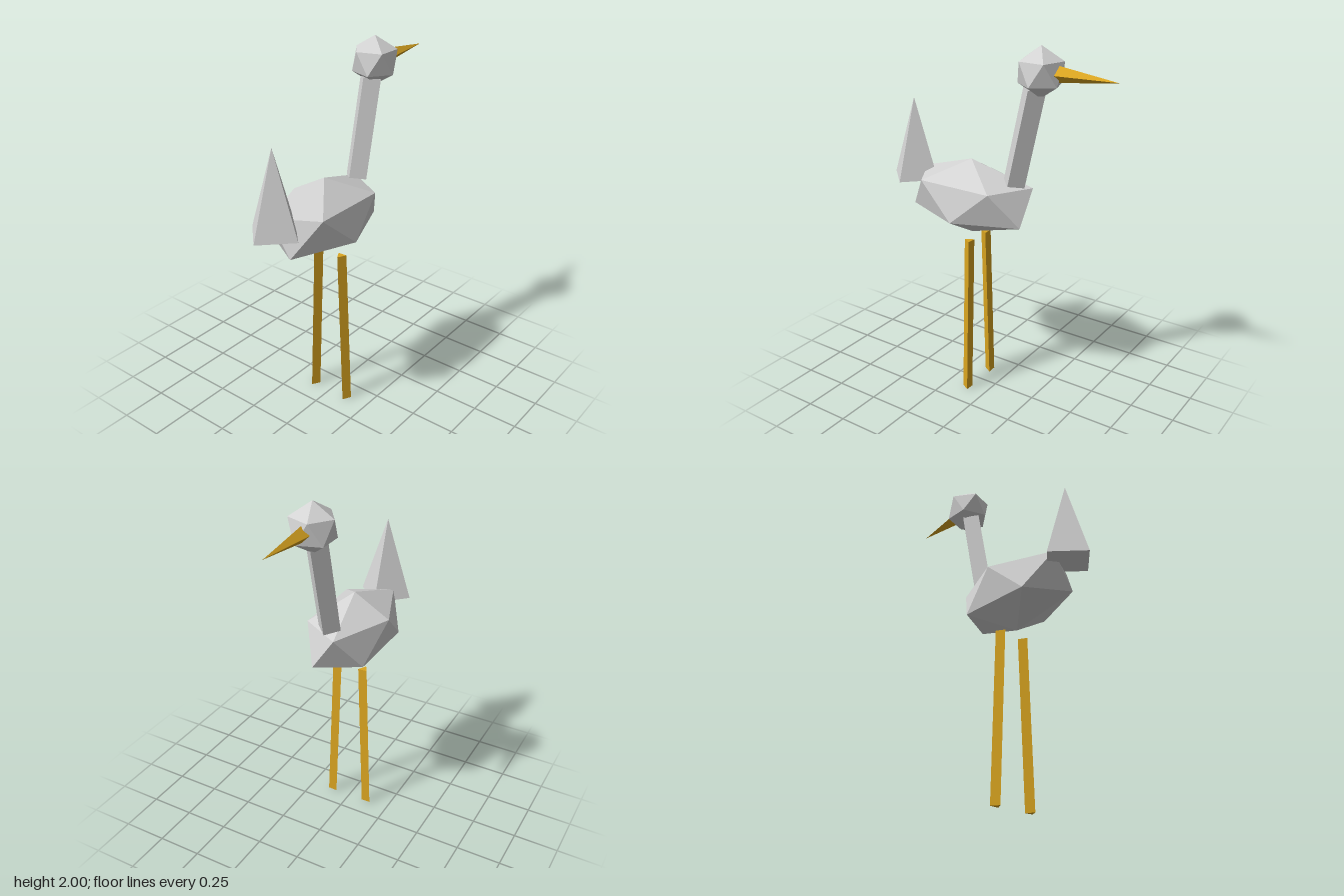
import * as THREE from 'three';

export function createModel() {
  const plumage = new THREE.MeshStandardMaterial({ color: 0xd3d3d3 });
  plumage.name = 'light grey plumage';
  const horn = new THREE.MeshStandardMaterial({ color: 0xdaa520 });
  horn.name = 'golden horn';
  for (const m of [plumage, horn]) m.flatShading = true;

  const bird = new THREE.Group();
  bird.name = 'bird';

  function add(name, geometry, material, position, tilt = [0, 0, 0]) {
    const mesh = new THREE.Mesh(geometry, material);
    mesh.name = name;
    mesh.position.set(...position);
    mesh.rotation.set(...tilt);
    bird.add(mesh);
    return mesh;
  }

  // Icosahedron turned so that one corner points straight up
  const gem = (rx, ry, rz) =>
    new THREE.IcosahedronGeometry(1, 0)
      .rotateZ(Math.atan(2 / (1 + Math.sqrt(5))))
      .scale(rx, ry, rz);

  add('body', gem(0.229, 0.21, 0.408), plumage, [0, 1.146, 0.153]);
  add('head', gem(0.13, 0.13, 0.13), plumage, [0, 1.87, -0.265]);

  // Square neck leaning towards the head
  add('neck', new THREE.CylinderGeometry(0.065, 0.065, 0.53, 4), plumage,
    [0, 1.528, -0.175], [-0.22, 0, 0]);

  // Four-sided beak and upright tail
  add('beak', new THREE.ConeGeometry(0.042, 0.321, 4), horn,
    [0, 1.87, -0.5225], [-Math.PI / 2, 0, 0]);
  add('tail', new THREE.ConeGeometry(0.15, 0.447, 4), plumage, [0, 1.412, 0.533]);

  // Three-sided legs, splayed outwards
  for (const side of [-1, 1]) {
    add(side > 0 ? 'leftLeg' : 'rightLeg',
      new THREE.CylinderGeometry(0.03, 0.03, 0.918, 3), horn,
      [side * 0.096, 0.46, 0.118], [0, 0, side * 0.0386]);
  }

  return bird;
}
